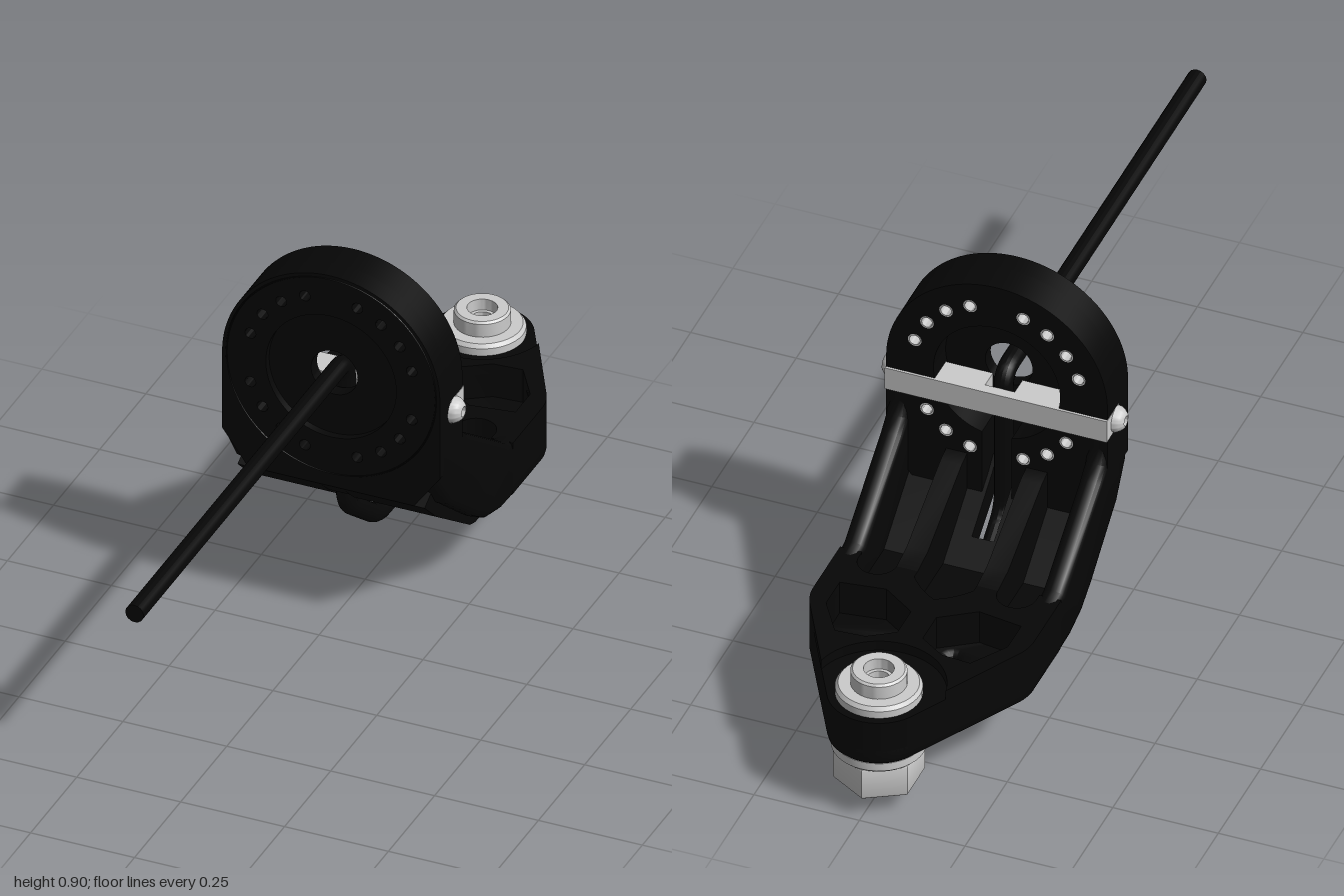
import * as THREE from 'three';
import { toCreasedNormals } from 'three/addons/utils/BufferGeometryUtils.js';

const CY = 0.635;      // disc centre height
const BOLT_S = 0.885;  // bolt axis distance behind the origin
const black = new THREE.MeshStandardMaterial({ color: 0x060606 });
const grey = new THREE.MeshStandardMaterial({ color: 0xcccccc });

export function createModel() {
  const model = new THREE.Group();
  const add = (name, geo, mat, parent = model) => {
    const mesh = new THREE.Mesh(toCreasedNormals(geo, 0.6), mat);
    mesh.name = name;
    parent.add(mesh);
  };
  const group = (name) => {
    const g = new THREE.Group();
    g.name = name;
    model.add(g);
    return g;
  };
  const poly = (pts) => new THREE.Shape(pts.map(([a, b]) => new THREE.Vector2(a, b)));
  const circle = (x, y, r) => new THREE.Path().absarc(x, y, r, 0, Math.PI * 2, true);
  const disc = (x, y, r) => new THREE.Shape().absarc(x, y, r, 0, Math.PI * 2, false);
  const extrude = (shape, depth, bevel = 0) => new THREE.ExtrudeGeometry(shape, {
    depth: depth - 2 * bevel, bevelEnabled: bevel > 0, bevelSize: bevel, bevelThickness: bevel,
    bevelOffset: -bevel, bevelSegments: 3, curveSegments: 32,
  }).translate(0, 0, bevel);
  // side profile (distance back, height) spanning x0..x1
  const across = (pts, x0, x1, bevel) =>
    extrude(poly(pts), x1 - x0, bevel).rotateY(Math.PI / 2).translate(x0, 0, 0);
  // plan shape (x, distance back) spanning y0..y1
  const upward = (shape, y0, y1, bevel) =>
    extrude(shape, y1 - y0, bevel).rotateX(-Math.PI / 2).translate(0, y0, 0);
  // front shape (x, y) spanning z0..z1
  const facing = (shape, z0, z1) => extrude(shape, z1 - z0).translate(0, 0, z0);

  // Mounting disc with its ring of holes and trimmed lower corners
  const bracket = group('bracket');
  const holeSpots = [];
  for (let i = 0; i < 20; i++) {
    const a = i * Math.PI / 10;
    if (i % 5) holeSpots.push([0.204 * Math.cos(a), CY + 0.204 * Math.sin(a)]);
  }
  const discOutline = (bottom) => {
    const p = new THREE.Shape();
    p.moveTo(0.2, bottom).lineTo(0.262, bottom + 0.085).lineTo(0.262, CY);
    p.absarc(0, CY, 0.262, 0, Math.PI, false);
    p.lineTo(-0.262, bottom + 0.085).lineTo(-0.2, bottom);
    for (const [x, y] of holeSpots) p.holes.push(circle(x, y, 0.013));
    return p;
  };
  const face = discOutline(0.35);
  face.holes.push(circle(0, CY, 0.157));
  add('discFace', facing(face, -0.115, -0.065), black, bracket);
  const web = disc(0, CY, 0.16);
  web.holes.push(circle(0, CY, 0.056));
  add('discWeb', facing(web, -0.115, -0.083), black, bracket);
  add('discRing', new THREE.TorusGeometry(0.252, 0.002, 6, 64).translate(0, CY, -0.065), black, bracket);

  // Rear of the disc: round recess with a cable channel running down from it
  const rear = discOutline(0.32);
  const slotAngle = Math.asin(0.035 / 0.15);
  rear.lineTo(-0.035, 0.32);
  rear.absarc(0, CY, 0.15, -Math.PI / 2 - slotAngle, -Math.PI / 2 + slotAngle, true);
  rear.lineTo(0.035, 0.32);
  add('discRear', facing(rear, -0.187, -0.115), black, bracket);

  // Metal inserts set into the holes from behind
  const inserts = group('threadedInserts');
  for (const [x, y] of holeSpots) {
    const sleeve = disc(x, y, 0.016);
    sleeve.holes.push(circle(x, y, 0.0125));
    add('insert', facing(sleeve, -0.188, -0.13), grey, inserts);
  }

  // Bent section: floor, side walls and inner ribs
  const under = [[0.48, 0.155], [0.34, 0.155], [0.31, 0.165], [0.13, 0.29], [0.065, 0.35]];
  const wall = [[0.48, 0.155], [0.4, 0.158], [0.33, 0.177], [0.27, 0.215], [0.12, 0.335], [0.065, 0.42],
    [0.065, 0.6], [0.187, 0.6], [0.187, 0.52], [0.2, 0.485], [0.23, 0.458],
    [0.42, 0.325], [0.445, 0.308], [0.48, 0.3]].reverse();
  const rib = [...under, [0.1, 0.42], [0.185, 0.42], [0.22, 0.41], [0.42, 0.312], [0.48, 0.3]].reverse();
  const floor = [...under, [0.12, 0.38], [0.15, 0.35], [0.33, 0.215], [0.48, 0.215]].reverse();
  const floorMiddle = [[0.48, 0.155], [0.34, 0.155], [0.31, 0.165], [0.27, 0.193], [0.27, 0.26],
    [0.33, 0.215], [0.48, 0.215]].reverse();
  const frontLip = [[0.065, 0.35], [0.115, 0.305], [0.115, 0.38], [0.065, 0.38]];
  for (const s of [-1, 1]) {
    const span = (pts, a, b, bevel) => across(pts, Math.min(s * a, s * b), Math.max(s * a, s * b), bevel);
    add('sideWall', span(wall, 0.21, 0.262, 0.02), black, bracket);
    add('innerRib', span(rib, 0.07, 0.12), black, bracket);
    add('bentFloor', span(floor, 0.026, 0.225), black, bracket);
  }
  add('bentFloorMiddle', across(floorMiddle, -0.026, 0.026), black, bracket);
  add('frontLip', across(frontLip, -0.035, 0.035), black, bracket);

  // Flat arm: tapered plan; end is a round boss or a concave step around it
  const edge = (endArc) => {
    const p = new THREE.Shape();
    p.moveTo(0.262, 0.46).lineTo(0.262, 0.62);
    p.quadraticCurveTo(0.262, 0.65, 0.245, 0.68);
    endArc(p);
    p.lineTo(-0.245, 0.68);
    p.quadraticCurveTo(-0.262, 0.65, -0.262, 0.62);
    p.lineTo(-0.262, 0.46);
    return p;
  };
  const boss = (p) => {
    p.absarc(0, BOLT_S, 0.115, Math.PI / 6, Math.PI * 5 / 6, false);
    p.holes.push(circle(0, BOLT_S, 0.044));
  };
  const step = (p) => p.absarc(0, BOLT_S, 0.15, -0.18, -Math.PI + 0.18, true);
  const pocket = [[0.03, 0.62], [0.03, 0.7], [0.09, 0.74], [0.16, 0.745], [0.215, 0.66],
    [0.215, 0.58], [0.11, 0.565]];
  const pocketed = (endArc) => {
    const p = edge(endArc);
    p.lineTo(-0.21, 0.46);
    p.absarc(-0.165, 0.48, 0.045, Math.PI, 0, true);
    p.lineTo(-0.12, 0.46).lineTo(-0.07, 0.46).lineTo(-0.07, 0.5);
    p.quadraticCurveTo(-0.04, 0.54, 0, 0.56);
    p.quadraticCurveTo(0.04, 0.54, 0.07, 0.5);
    p.lineTo(0.07, 0.46).lineTo(0.12, 0.46);
    p.absarc(0.165, 0.48, 0.045, Math.PI, 0, true);
    p.lineTo(0.21, 0.46);
    for (const s of [-1, 1]) p.holes.push(poly(pocket.map(([x, d]) => [s * x, d])));
    return p;
  };
  const base = edge(boss);
  for (const s of [-1, 1]) base.holes.push(circle(s * 0.075, 0.635, 0.012));
  add('armFloor', upward(base, 0.155, 0.215, 0.018), black, bracket);
  add('armRibs', upward(pocketed(boss), 0.19, 0.275), black, bracket);
  add('armTop', upward(pocketed(step), 0.275, 0.3), black, bracket);

  // Hollow vertical bolt with washers, socket head and hex nut
  const bolt = group('bolt');
  bolt.position.z = -BOLT_S;
  const lathe = (pts) => new THREE.LatheGeometry(pts.map(([r, y]) => new THREE.Vector2(r, y)), 40);
  add('topWasher', lathe([[0.044, 0.27], [0.097, 0.27], [0.097, 0.293], [0.09, 0.302], [0.044, 0.302]]),
    grey, bolt);
  add('bottomWasher', lathe([[0.044, 0.13], [0.1, 0.13], [0.106, 0.136], [0.106, 0.156], [0.044, 0.156]]),
    grey, bolt);
  add('boltBody', lathe([[0.026, 0.02], [0.042, 0.02], [0.045, 0.025], [0.045, 0.3], [0.063, 0.3],
    [0.063, 0.335], [0.058, 0.34], [0.034, 0.34], [0.034, 0.312], [0.026, 0.312], [0.026, 0.02]]), grey, bolt);
  const hex = poly([0, 1, 2, 3, 4, 5].map((i) => {
    const a = Math.PI / 6 + i * Math.PI / 3;
    return [0.102 * Math.cos(a), 0.102 * Math.sin(a)];
  }));
  hex.holes.push(circle(0, 0, 0.044));
  add('nut', upward(hex, 0.048, 0.131, 0.006), grey, bolt);

  // Cross bar, notched in the middle for the cable, with a domed screw at each end
  const bar = group('crossBar');
  const notched = poly([[-0.263, 0.122], [-0.035, 0.122], [-0.035, 0.168], [0.035, 0.168],
    [0.035, 0.122], [0.263, 0.122], [0.263, 0.193], [-0.263, 0.193]]);
  add('bar', upward(notched, 0.547, 0.605), grey, bar);
  for (const s of [-1, 1]) {
    const screw = lathe([[0.031, 0], [0.03, 0.008], [0.025, 0.017], [0.018, 0.024], [0.012, 0.026],
      [0.012, 0.016], [0, 0.016]]);
    add('screw', screw.rotateZ(-s * Math.PI / 2).translate(s * 0.261, 0.575, -0.138), grey, bar);
  }

  // Cable: straight rod, through the disc, down behind it and under the arm
  const route = [[-1, CY], [0.145, CY], [0.145, 0.26], [0.31, 0.135], [0.68, 0.133], [0.745, 0.022],
    [0.895, 0.022]].map(([d, y]) => new THREE.Vector3(0, y, -d));
  const path = new THREE.CurvePath();
  let from = route[0];
  for (let i = 1; i < route.length - 1; i++) {
    const c = route[i];
    const toward = (p) => c.clone().add(p.clone().sub(c).setLength(0.04));
    const a = toward(route[i - 1]), b = toward(route[i + 1]);
    path.add(new THREE.LineCurve3(from, a));
    path.add(new THREE.QuadraticBezierCurve3(a, c, b));
    from = b;
  }
  path.add(new THREE.LineCurve3(from, route[route.length - 1]));
  const cable = group('cable');
  add('cableRun', new THREE.TubeGeometry(path, 240, 0.022, 16), black, cable);
  add('cableFrontEnd', new THREE.CircleGeometry(0.022, 16).translate(0, CY, 1), black, cable);
  add('cableRearEnd', new THREE.CircleGeometry(0.022, 16).rotateY(Math.PI).translate(0, 0.022, -0.895), black, cable);

  return model;
}
